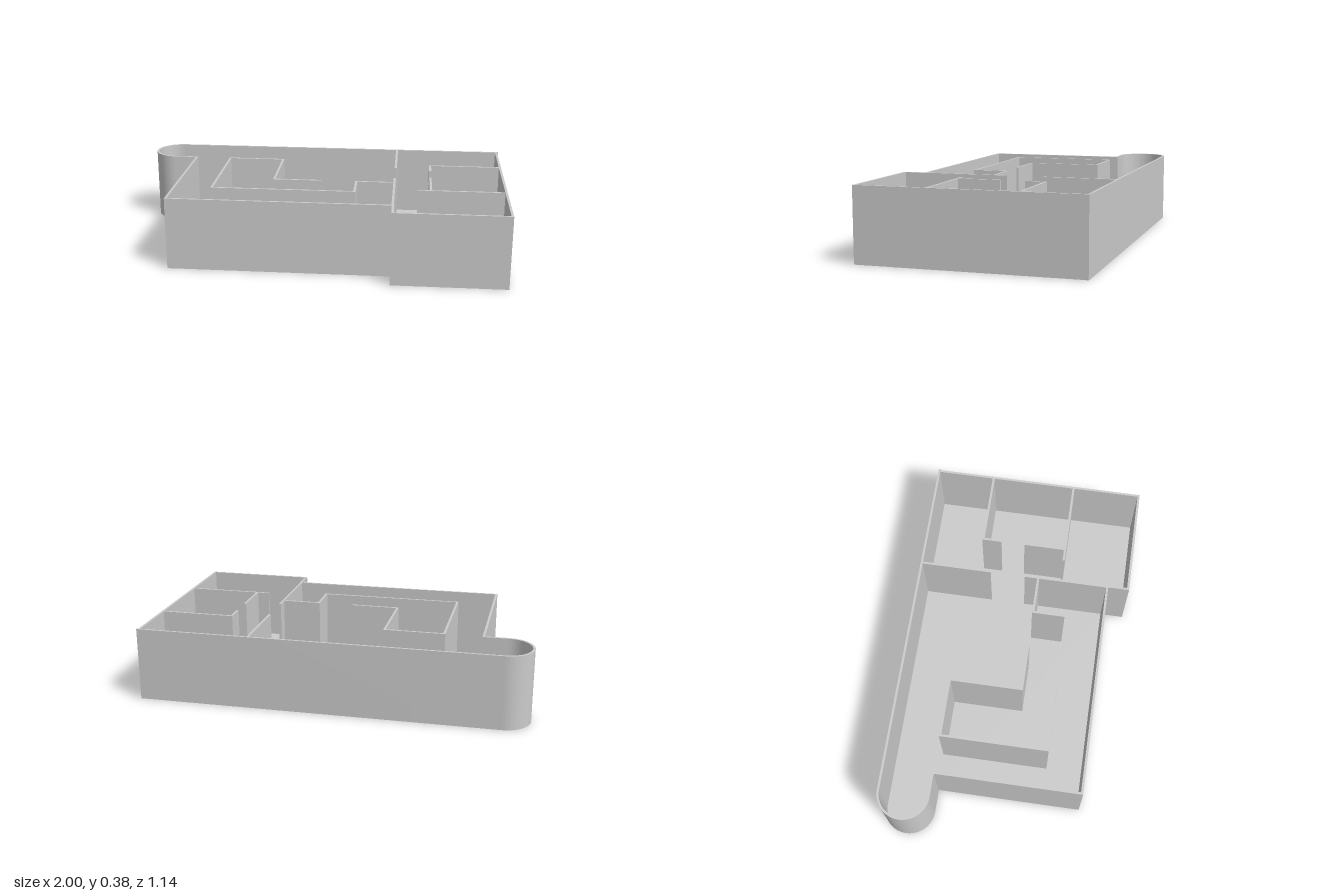
import * as THREE from 'three';
import { toCreasedNormals } from 'three/addons/utils/BufferGeometryUtils.js';

const HEIGHT = 0.38, FLOOR = 0.008, WALL = 0.012;
const material = new THREE.MeshStandardMaterial({ color: 0xcccccc });

// Building outline in plan (shape y = -z), inset by t; the left end of the back wing is a half circle
function outline(t, Type = THREE.Shape) {
  const s = new Type();
  const corner = t > 0 ? [[0.993 - t, 0.575 - t]] : [[0.993, 0.562], [1, 0.562], [1, 0.575]];
  s.moveTo(-0.865, 0.305 + t);
  s.lineTo(-0.745 + t, 0.305 + t);
  s.lineTo(-0.745 + t, -0.457 + t);
  s.lineTo(0.405 + t, -0.457 + t);
  s.lineTo(0.405 + t, -0.57 + t);
  s.lineTo(0.993 - t, -0.57 + t);
  corner.forEach(([x, y]) => s.lineTo(x, y));
  s.lineTo(-0.865, 0.575 - t);
  s.absarc(-0.865, 0.44, 0.135 - t, Math.PI / 2, Math.PI * 1.5, false);
  return s;
}

function extrudeUp(shape, y0, y1) {
  const g = new THREE.ExtrudeGeometry(shape, { depth: y1 - y0, bevelEnabled: false, curveSegments: 32 });
  g.rotateX(-Math.PI / 2).translate(0, y0, 0);
  return toCreasedNormals(g, Math.PI / 6);
}

export function createModel() {
  const group = new THREE.Group();
  const add = (name, geometry, parent = group) => {
    const mesh = new THREE.Mesh(geometry, material);
    mesh.name = name;
    parent.add(mesh);
    return mesh;
  };

  // Floor slab and perimeter wall
  add('floor', extrudeUp(outline(0), 0, FLOOR));
  const ring = outline(0);
  ring.holes.push(outline(WALL, THREE.Path));
  add('outerWall', extrudeUp(ring, FLOOR, HEIGHT));

  // Partition run along [x, z] centre points; corners overlap by half a wall
  const h = HEIGHT - FLOOR;
  function partition(name, points) {
    const run = new THREE.Group();
    run.name = name;
    for (let i = 1; i < points.length; i++) {
      const [ax, az] = points[i - 1], [bx, bz] = points[i];
      const g = new THREE.BoxGeometry(Math.abs(bx - ax) + WALL, h, Math.abs(bz - az) + WALL);
      add(name + 'Segment', g, run).position.set((ax + bx) / 2, FLOOR + h / 2, (az + bz) / 2);
    }
    group.add(run);
  }

  // Winding inner room
  partition('innerRoomWall', [
    [0.015, 0.074], [-0.235, 0.074], [-0.235, -0.307], [-0.541, -0.307],
    [-0.541, 0.25], [0.206, 0.25], [0.206, 0.074], [0.405, 0.074],
  ]);

  // Dividing wall with a door gap
  partition('dividingWallBack', [[0.409, -0.563], [0.409, -0.195]]);
  partition('dividingWallFront', [[0.409, 0.006], [0.409, 0.458]]);

  // Small rooms of the right wing
  partition('backRoomWall', [[0.98, -0.257], [0.6, -0.257], [0.6, -0.163]]);
  partition('middleRoomWall', [[0.6, -0.022], [0.6, 0.197]]);
  partition('frontRoomWall', [[0.537, 0.197], [0.98, 0.197]]);

  return group;
}
